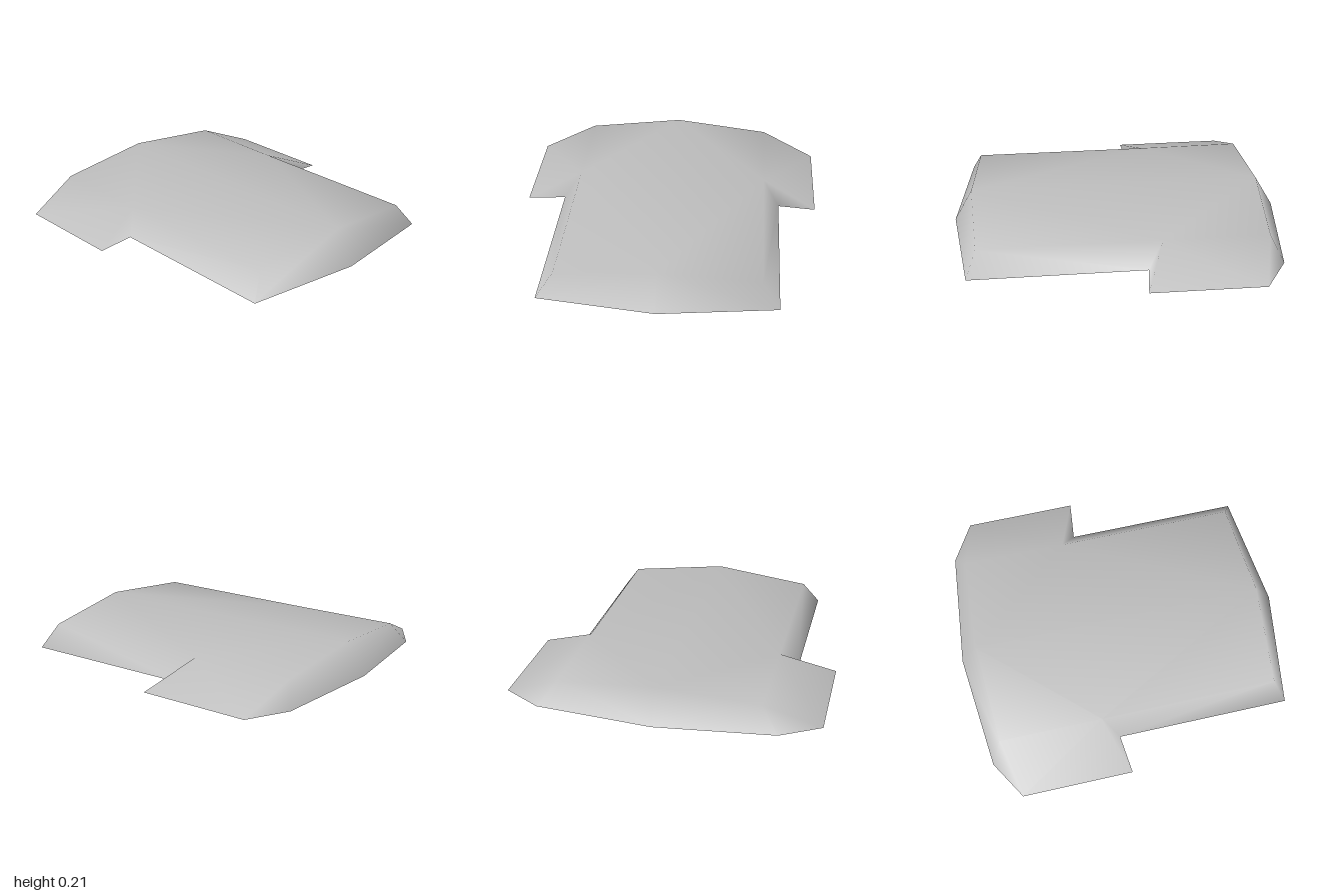
import * as THREE from 'three';

// Corner points of the +x half of the shell; points on x = 0 are shared by both halves.
const POINTS = {
  crestFront: [0, 0.2, 0.89],
  crestBack: [0, 0.21, -0.89],
  shoulderFront: [0.59, 0.14, 0.85],
  shoulderMid: [0.59, 0.147, -0.23],
  shoulderBack: [0.59, 0.155, -0.86],
  rimFront: [0, 0, 1],
  rimFrontSide: [0.69, 0, 0.91],
  rimNotch: [0.69, 0.012, -0.14],
  flareFront: [0.92, 0.012, -0.115],
  flareBack: [0.92, 0.017, -0.79],
  rimBackSide: [0.69, 0.02, -0.93],
  rimBack: [0, 0.02, -1],
};

// Panels of the +x half, counter-clockwise from outside, each cut as a fan from its first corner.
const PANELS = [
  ['crestFront', 'shoulderFront', 'shoulderMid', 'crestBack'],        // roof
  ['crestBack', 'shoulderMid', 'shoulderBack'],                       // rear of roof
  ['crestFront', 'rimFront', 'rimFrontSide', 'shoulderFront'],        // front slope
  ['shoulderFront', 'rimFrontSide', 'rimNotch', 'shoulderMid'],       // side slope
  ['shoulderMid', 'rimNotch', 'flareFront'],                          // front of side flare
  ['shoulderMid', 'flareFront', 'flareBack', 'shoulderBack'],         // side flare
  ['shoulderBack', 'flareBack', 'rimBackSide'],                       // rear corner
  ['shoulderBack', 'rimBackSide', 'rimBack', 'crestBack'],            // back slope
];

function shellGeometry() {
  const positions = [];
  const index = [];
  const ids = new Map();

  // Returns a shared vertex so that normals stay smooth across all panels.
  const vertex = (name, side) => {
    const [x, y, z] = POINTS[name];
    const key = x === 0 ? name : name + side;
    if (!ids.has(key)) {
      ids.set(key, positions.length / 3);
      positions.push(x * side, y, z);
    }
    return ids.get(key);
  };

  for (const side of [1, -1]) {
    for (const panel of PANELS) {
      const v = panel.map((name) => vertex(name, side));
      for (let i = 1; i < v.length - 1; i++) {
        if (side > 0) index.push(v[0], v[i], v[i + 1]);
        else index.push(v[0], v[i + 1], v[i]);
      }
    }
  }

  const geometry = new THREE.BufferGeometry();
  geometry.setAttribute('position', new THREE.Float32BufferAttribute(positions, 3));
  geometry.setIndex(index);
  geometry.computeVertexNormals();
  return geometry;
}

export function createModel() {
  const group = new THREE.Group();
  group.name = 'openShellCover';

  const material = new THREE.MeshStandardMaterial({ color: 0xc0c0c0, side: THREE.DoubleSide });
  material.name = 'light grey';

  const shell = new THREE.Mesh(shellGeometry(), material);
  shell.name = 'coverShell';
  group.add(shell);
  return group;
}
